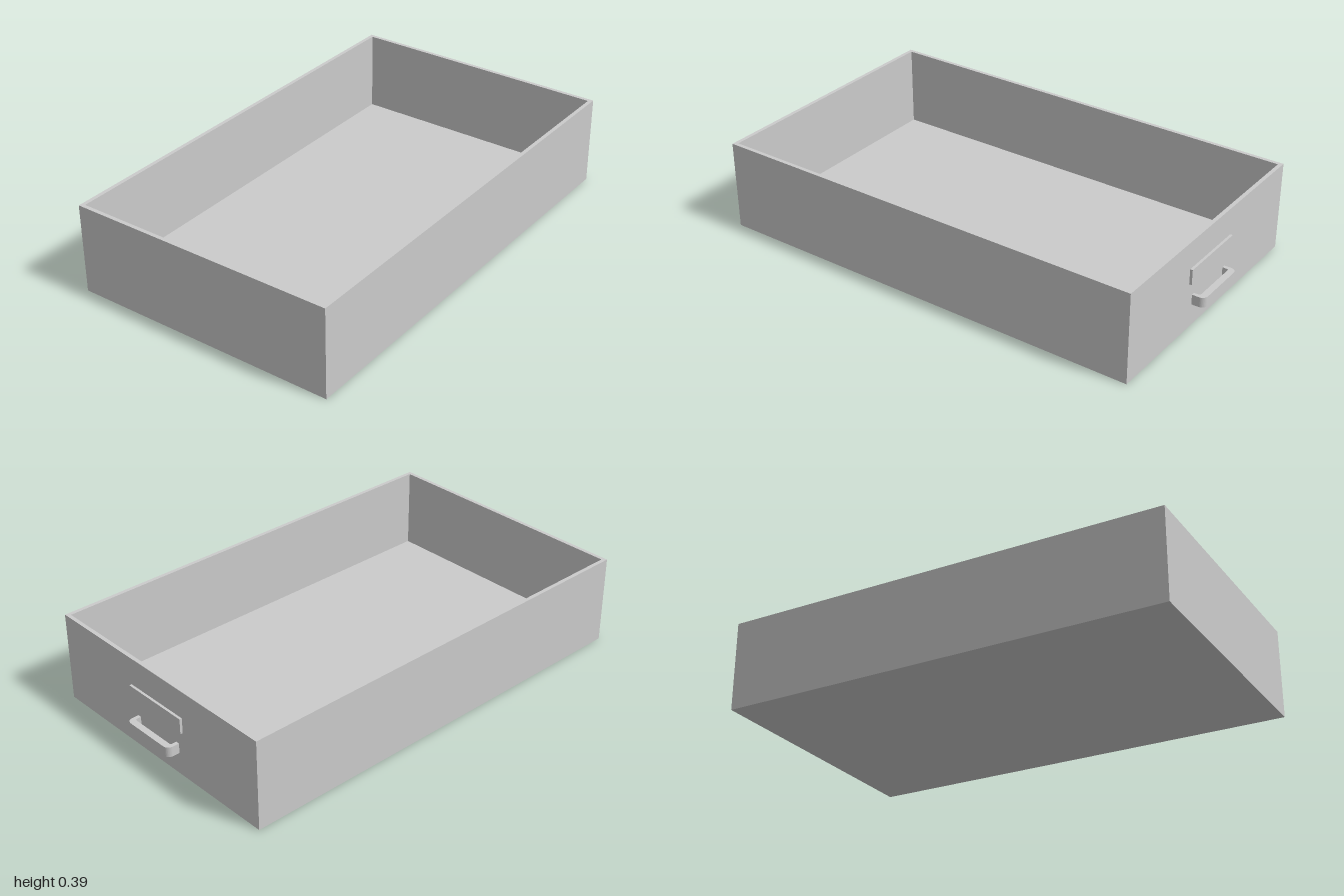
import * as THREE from 'three';

const material = new THREE.MeshStandardMaterial({ color: 0xcccccc });

// Tray dimensions
const X0 = -1, X1 = 0.945, HALF_Z = 0.59, HEIGHT = 0.393, WALL = 0.017, FLOOR = 0.036;

function add(group, name, geometry, x = 0, y = 0, z = 0) {
  const mesh = new THREE.Mesh(geometry, material);
  mesh.name = name;
  mesh.position.set(x, y, z);
  group.add(mesh);
  return mesh;
}

function rectangle(PathType, x0, x1, halfZ) {
  const path = new PathType();
  path.moveTo(x0, -halfZ);
  path.lineTo(x1, -halfZ);
  path.lineTo(x1, halfZ);
  path.lineTo(x0, halfZ);
  path.closePath();
  return path;
}

// Extrudes a plan-view shape upward
function extrudeUp(shape, height) {
  return new THREE.ExtrudeGeometry(shape, { depth: height, bevelEnabled: false, curveSegments: 8 })
    .rotateX(-Math.PI / 2);
}

// U-shaped pull with rounded outer and inner corners
function handleShape(x0, x1, halfZ, bar, leg) {
  const r = 0.025, ri = 0.008, xi = x1 - bar, zi = halfZ - leg;
  const s = new THREE.Shape();
  s.moveTo(x0, -halfZ);
  s.lineTo(x1 - r, -halfZ);
  s.absarc(x1 - r, -halfZ + r, r, -Math.PI / 2, 0, false);
  s.lineTo(x1, halfZ - r);
  s.absarc(x1 - r, halfZ - r, r, 0, Math.PI / 2, false);
  s.lineTo(x0, halfZ);
  s.lineTo(x0, zi);
  s.lineTo(xi - ri, zi);
  s.absarc(xi - ri, zi - ri, ri, Math.PI / 2, 0, true);
  s.lineTo(xi, -zi + ri);
  s.absarc(xi - ri, -zi + ri, ri, 0, -Math.PI / 2, true);
  s.lineTo(x0, -zi);
  s.closePath();
  return s;
}

export function createModel() {
  const group = new THREE.Group();
  group.name = 'drawer';

  // Four walls as one ring, with the floor set inside
  const ring = rectangle(THREE.Shape, X0, X1, HALF_Z);
  ring.holes.push(rectangle(THREE.Path, X0 + WALL, X1 - WALL, HALF_Z - WALL));
  add(group, 'walls', extrudeUp(ring, HEIGHT));
  add(group, 'floor',
    new THREE.BoxGeometry(X1 - X0 - 2 * WALL, FLOOR, 2 * (HALF_Z - WALL)),
    (X0 + X1) / 2, FLOOR / 2, 0);

  // Label plate and pull on the +x end
  add(group, 'labelPlate', new THREE.BoxGeometry(0.011, 0.067, 0.314), X1 + 0.0055, 0.238, 0);
  add(group, 'handle', extrudeUp(handleShape(X1, 1, 0.128, 0.028, 0.016), 0.044), 0, 0.098, 0);

  return group;
}
